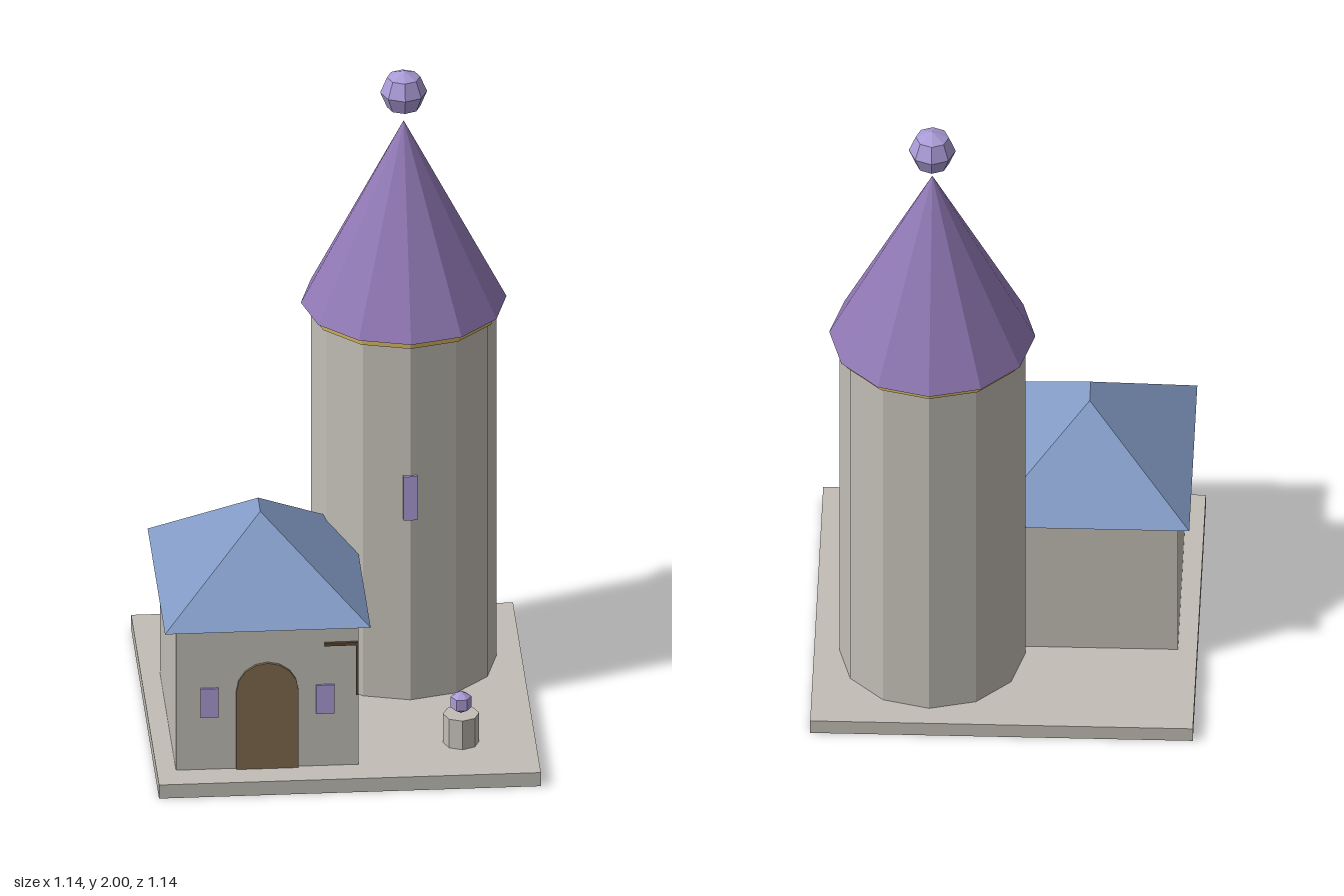
import * as THREE from 'three';
import { ConvexGeometry } from 'three/addons/geometries/ConvexGeometry.js';

const mat = (name, color) => {
  const m = new THREE.MeshStandardMaterial({ color });
  m.name = name;
  return m;
};

// Faceted look: every face gets its own normal
function flat(geometry) {
  const g = geometry.index ? geometry.toNonIndexed() : geometry;
  g.computeVertexNormals();
  return g;
}

export function createModel() {
  const stone = mat('stone', 0xc2beb6);
  const purple = mat('purple roof', 0x9179b5);
  const blue = mat('blue roof', 0x829ac4);
  const lilac = mat('lilac glass', 0xa99bd6);
  const gold = mat('gold', 0xceb060);
  const wood = mat('door wood', 0x806a4e);
  const darkWood = mat('dark wood', 0x5c4a34);

  const model = new THREE.Group();
  model.name = 'towerHouse';

  function add(parent, name, geometry, material, x, y, z) {
    const mesh = new THREE.Mesh(flat(geometry), material);
    mesh.name = name;
    mesh.position.set(x, y, z);
    parent.add(mesh);
    return mesh;
  }
  function group(name, x, z) {
    const g = new THREE.Group();
    g.name = name;
    g.position.set(x, 0, z);
    model.add(g);
    return g;
  }
  // Box and prism helpers measured from bottom to top
  const box = (parent, name, m, w, y0, y1, d, x = 0, z = 0) =>
    add(parent, name, new THREE.BoxGeometry(w, y1 - y0, d), m, x, (y0 + y1) / 2, z);
  const prism = (parent, name, m, r, y0, y1, sides) =>
    add(parent, name, new THREE.CylinderGeometry(r, r, y1 - y0, sides), m, 0, (y0 + y1) / 2, 0);

  const ground = 0.045;
  box(model, 'base', stone, 1.14, 0, ground, 1.14);

  // Round tower with conical roof and floating finial
  const tower = group('tower', 0.218, -0.22);
  prism(tower, 'towerWall', stone, 0.277, ground, 1.22, 12);
  prism(tower, 'goldBand', gold, 0.289, 1.218, 1.242, 12);
  add(tower, 'towerRoof', new THREE.ConeGeometry(0.307, 0.595, 12), purple, 0, 1.5375, 0);
  add(tower, 'finial', new THREE.SphereGeometry(0.07, 8, 4), lilac, 0, 1.93, 0);
  box(tower, 'towerWindow', lilac, 0.042, 0.645, 0.79, 0.012, 0, 0.277);

  // House with hipped roof
  const house = group('house', -0.24, 0.145);
  const front = 0.33;
  box(house, 'houseWall', stone, 0.545, ground, 0.51, 0.66);
  const corners = [];
  for (const sx of [-1, 1]) {
    for (const sz of [-1, 1]) corners.push(new THREE.Vector3(sx * 0.307, 0, sz * 0.355));
  }
  const ridge = [-1, 1].map((s) => new THREE.Vector3(0, 0.245, s * 0.046));
  add(house, 'houseRoof', new ConvexGeometry([...corners, ...ridge]), blue, 0, 0.51, 0);

  // Arched door
  const r = 0.093;
  const arch = new THREE.Shape();
  arch.moveTo(-r, 0);
  arch.lineTo(r, 0);
  arch.lineTo(r, 0.257);
  arch.absarc(0, 0.257, r, 0, Math.PI, false);
  const doorGeometry = new THREE.ExtrudeGeometry(arch, { depth: 0.009, bevelEnabled: false, curveSegments: 4 });
  add(house, 'door', doorGeometry, wood, 0, ground, front);

  // Windows either side of the door
  for (const [name, s] of [['rightWindow', -1], ['leftWindow', 1]]) {
    box(house, name, lilac, 0.054, 0.22, 0.315, 0.008, s * 0.173, front + 0.003);
  }

  // Thin bracket beside the door
  box(house, 'bracketBar', darkWood, 0.1, 0.445, 0.455, 0.01, 0.221, front + 0.004);
  box(house, 'bracketPost', darkWood, 0.006, 0.28, 0.446, 0.01, 0.268, front + 0.004);

  // Small pedestal with a gem
  const pedestal = group('pedestal', 0.348, 0.347);
  prism(pedestal, 'pedestalStone', stone, 0.054, ground, 0.14, 8);
  add(pedestal, 'gem', new THREE.SphereGeometry(0.036, 6, 3), lilac, 0, 0.178, 0);

  return model;
}
